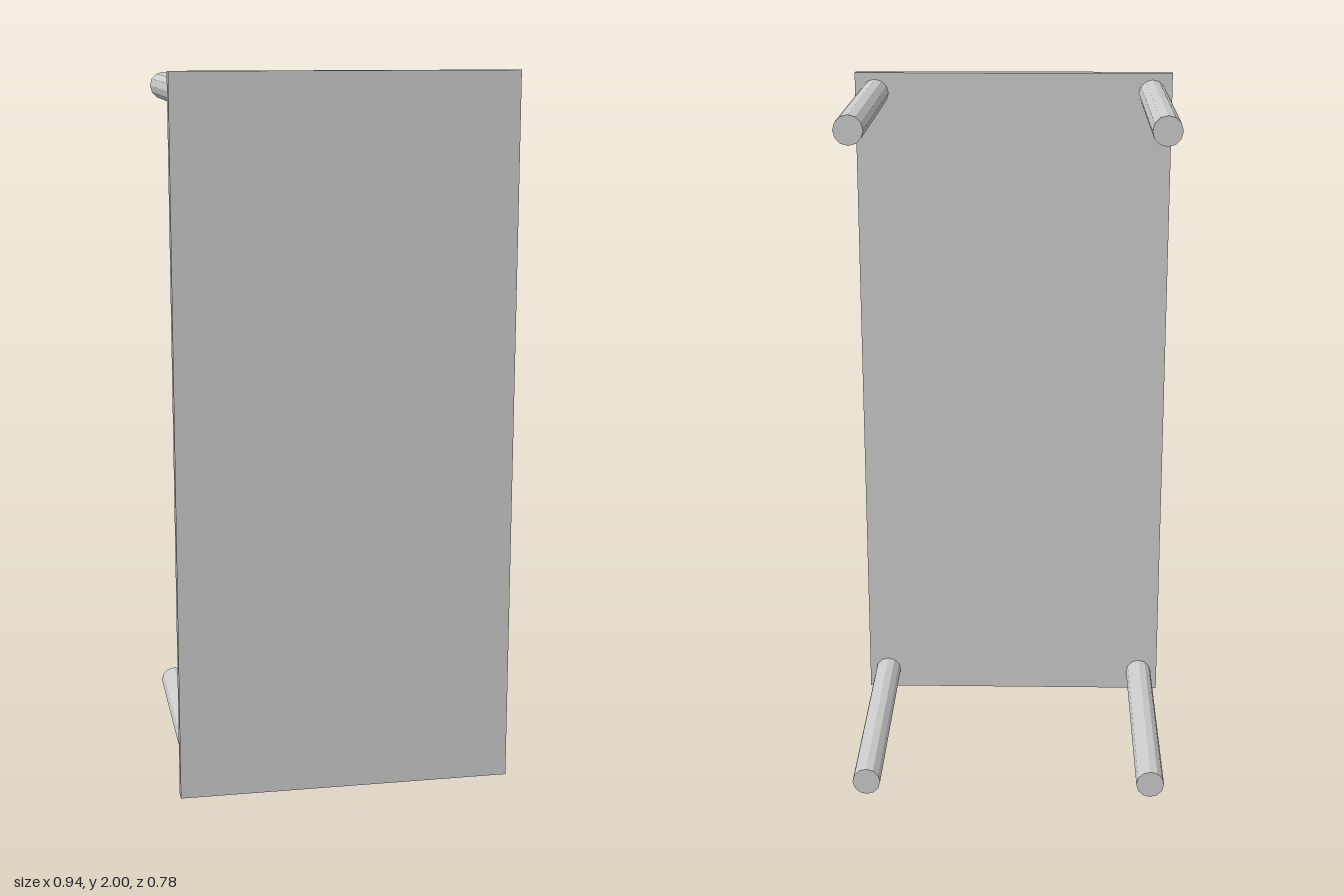
import * as THREE from 'three';

export function createModel() {
  const model = new THREE.Group();
  model.name = 'table';
  const material = new THREE.MeshStandardMaterial({ color: 0xcccccc, flatShading: true });

  const depth = 0.78, thickness = 0.037, legLength = depth - thickness;

  // Upright top panel
  const top = new THREE.Mesh(new THREE.BoxGeometry(0.94, 2, thickness), material);
  top.name = 'tableTop';
  top.position.set(0, 1, depth / 2 - thickness / 2);
  model.add(top);

  // Four round legs pointing backwards, one near each corner
  const legGeometry = new THREE.CylinderGeometry(0.04, 0.04, legLength, 12).rotateX(Math.PI / 2);
  for (const [side, sx] of [['left', 1], ['right', -1]]) {
    for (const [level, sy] of [['Upper', 1], ['Lower', -1]]) {
      const leg = new THREE.Mesh(legGeometry, material);
      leg.name = `${side}${level}Leg`;
      leg.position.set(sx * 0.411, 1 + sy * 0.941, -thickness / 2);
      model.add(leg);
    }
  }
  return model;
}
